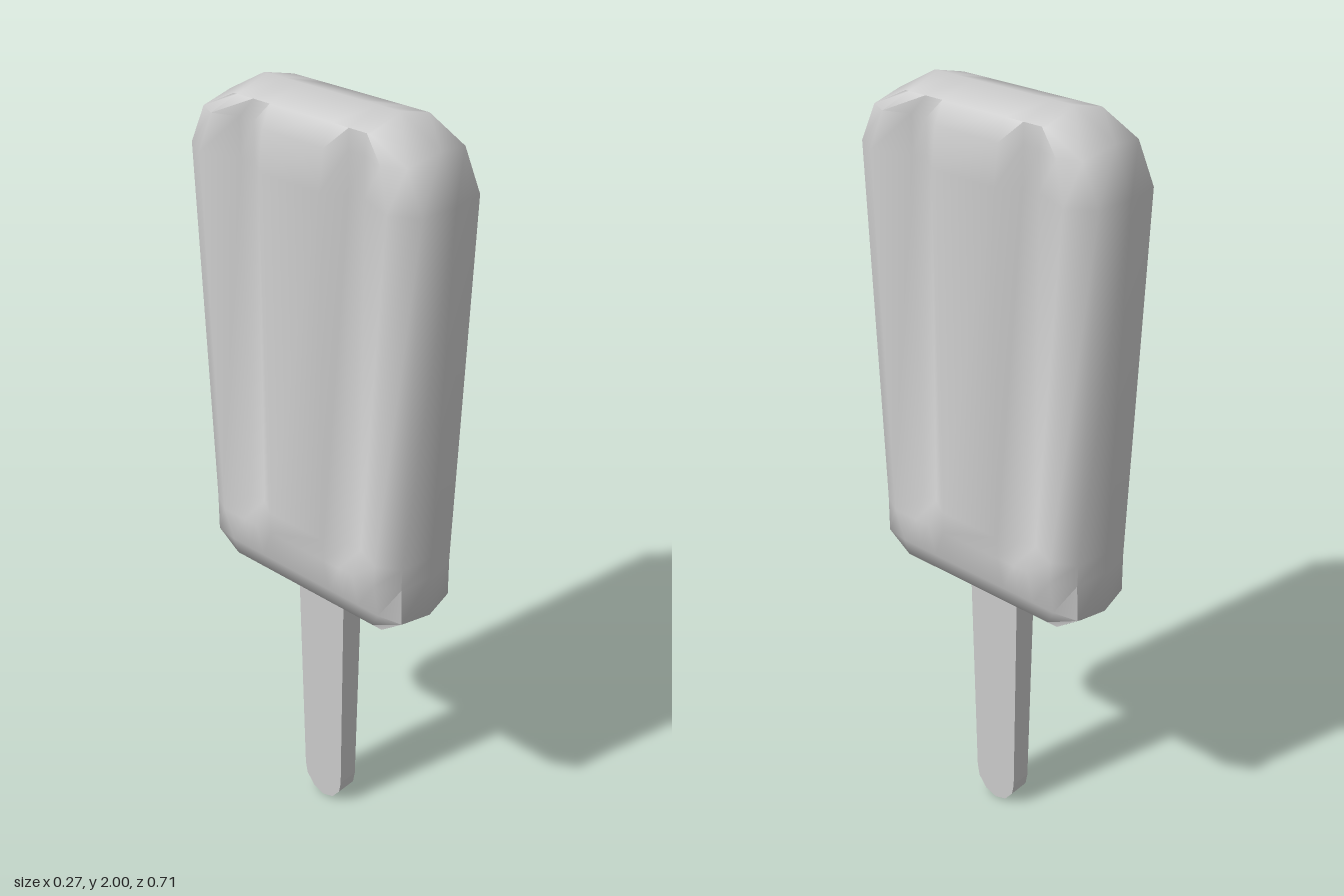
import * as THREE from 'three';
import { toCreasedNormals } from 'three/addons/utils/BufferGeometryUtils.js';

const grey = new THREE.MeshStandardMaterial({ color: 0xcccccc });
grey.name = 'lightGrey';

// One horizontal loop of the ice bar, from the +z end round the +x side to -z and back.
function ring({ y, yEnd = y, end, shoulder, corner, xs, xc, xg }) {
  const inner = Math.min(1, corner / 0.25);
  const half = [
    [xs, shoulder, y], [xc, corner, y],
    [xg, 0.185 * inner, y], [xg, 0.14, y], [xc, 0.09, y],
  ];
  const side = [...half, ...half.map(([x, z, h]) => [x, -z, h]).reverse()];
  return [
    [0, end, yEnd], ...side,
    [0, -end, yEnd], ...side.map(([x, z, h]) => [-x, z, h]).reverse(),
  ].map(([x, z, h]) => [x, h, z]);
}

function createBar() {
  // Levels from the bottom ridge to the top ridge; xg is the groove depth.
  const levels = [
    { y: 0.71, end: 0.26, shoulder: 0.25, corner: 0.22, xs: 0, xc: 0, xg: 0 },
    { y: 0.73, yEnd: 0.71, end: 0.26, shoulder: 0.25, corner: 0.22, xs: 0.085, xc: 0.085, xg: 0.085 },
    { y: 0.78, yEnd: 0.77, end: 0.33, shoulder: 0.315, corner: 0.25, xs: 0.088, xc: 0.1, xg: 0.1 },
    { y: 0.88, end: 0.327, shoulder: 0.313, corner: 0.255, xs: 0.09, xc: 0.123, xg: 0.122 },
    { y: 0.94, end: 0.329, shoulder: 0.315, corner: 0.257, xs: 0.09, xc: 0.124, xg: 0.092 },
    { y: 1.83, end: 0.357, shoulder: 0.345, corner: 0.28, xs: 0.095, xc: 0.133, xg: 0.095 },
    { y: 1.925, yEnd: 1.94, end: 0.31, shoulder: 0.3, corner: 0.25, xs: 0.095, xc: 0.12, xg: 0.095 },
    { y: 1.975, yEnd: 2, end: 0.2, shoulder: 0.2, corner: 0.19, xs: 0.095, xc: 0.095, xg: 0.095 },
    { y: 2, end: 0.2, shoulder: 0.2, corner: 0.19, xs: 0, xc: 0, xg: 0 },
  ];
  const rings = levels.map(ring);
  const n = rings[0].length;
  const index = [];
  for (let j = 0; j < rings.length - 1; j++) {
    for (let i = 0; i < n; i++) {
      const a = j * n + i, b = j * n + (i + 1) % n;
      index.push(a, b, b + n, a, b + n, a + n);
    }
  }
  const geo = new THREE.BufferGeometry();
  geo.setAttribute('position', new THREE.Float32BufferAttribute(rings.flat(2), 3));
  geo.setIndex(index);
  const bar = new THREE.Mesh(toCreasedNormals(geo, 1.1), grey);
  bar.name = 'iceBar';
  return bar;
}

function createStick() {
  // Flat tapering stick with a rounded lower end
  const right = [[0.035, 0.012], [0.06, 0.045], [0.066, 0.08], [0.079, 0.8]];
  const outline = [[0, 0], ...right, ...right.map(([x, y]) => [-x, y]).reverse()];
  const shape = new THREE.Shape(outline.map(([x, y]) => new THREE.Vector2(x, y)));
  const geo = new THREE.ExtrudeGeometry(shape, { depth: 0.06, bevelEnabled: false });
  geo.translate(0, 0, -0.03).rotateY(Math.PI / 2);
  // Slightly thinner towards the bottom
  const p = geo.attributes.position;
  for (let i = 0; i < p.count; i++) p.setX(i, p.getX(i) * (0.95 + 0.25 * p.getY(i)));
  geo.computeVertexNormals();
  const stick = new THREE.Mesh(geo, grey);
  stick.name = 'stick';
  return stick;
}

export function createModel() {
  const model = new THREE.Group();
  model.name = 'iceLolly';
  model.add(createBar(), createStick());
  return model;
}
